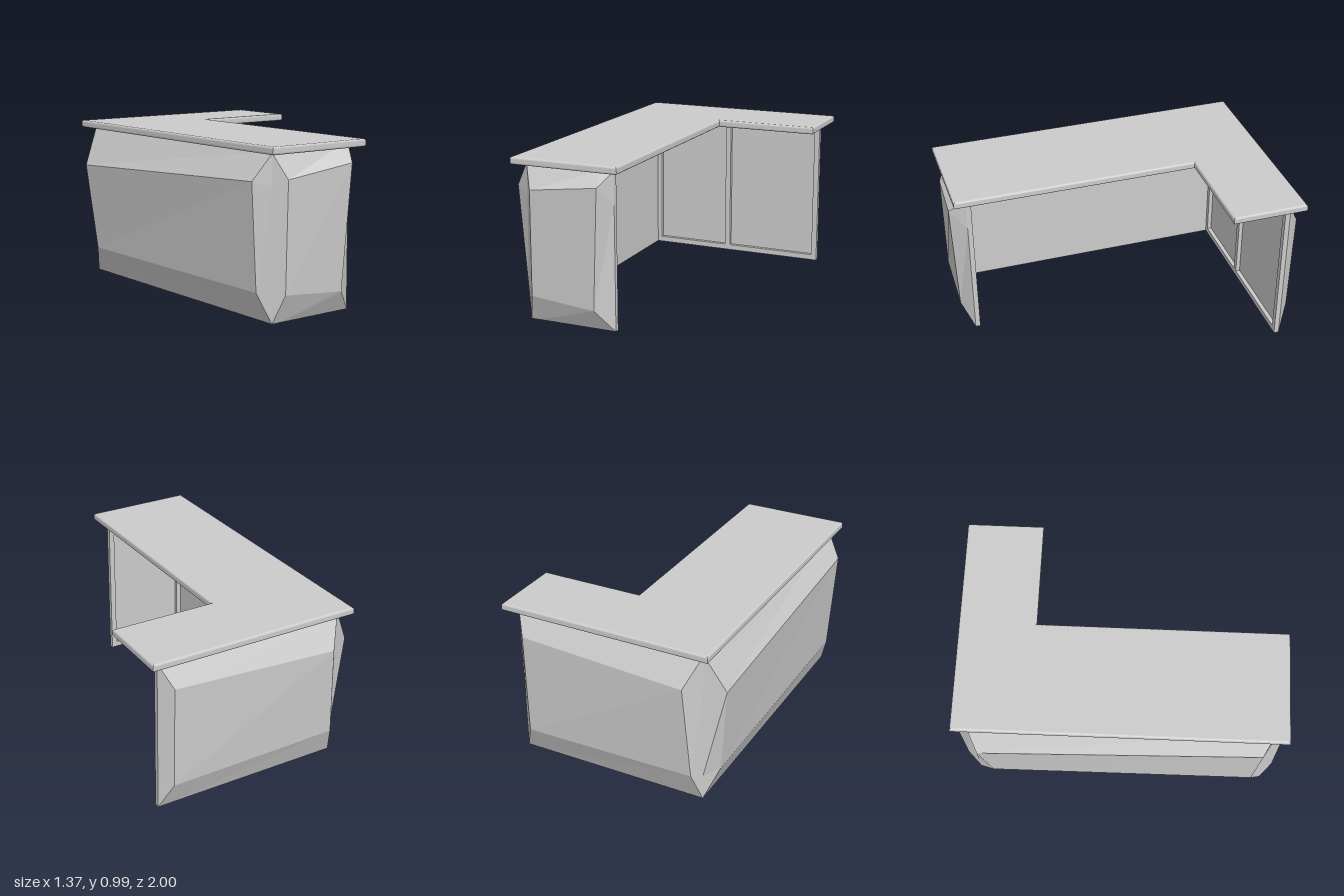
import * as THREE from 'three';

const H = 0.94;      // wall height
const D = 0.03;      // frame depth
const W = 0.035;     // frame bar width

export function createModel() {
  const model = new THREE.Group();
  model.name = 'cornerCounter';
  const mat = new THREE.MeshStandardMaterial({ color: 0xcccccc, flatShading: true });

  const add = (name, geometry) => {
    const mesh = new THREE.Mesh(geometry, mat);
    mesh.name = name;
    model.add(mesh);
    return mesh;
  };
  const box = (name, x0, x1, y0, y1, z0, z1) =>
    add(name, new THREE.BoxGeometry(x1 - x0, y1 - y0, z1 - z0))
      .position.set((x0 + x1) / 2, (y0 + y1) / 2, (z0 + z1) / 2);

  // L-shaped worktop with rounded edges
  const b = 0.012;
  const outline = [
    [-0.63 + b, -0.98 + b], [0.042 - b, -0.98 + b], [0.042 - b, 0.515 + b],
    [0.68 - b, 0.515 + b], [0.68 - b, 0.975 - b], [-0.63 + b, 0.975 - b],
  ];
  const top = new THREE.ExtrudeGeometry(
    new THREE.Shape(outline.map(([x, y]) => new THREE.Vector2(x, y))),
    { depth: 0.045 - 2 * b, bevelSize: b, bevelThickness: b, bevelSegments: 4 });
  top.rotateX(-Math.PI / 2).translate(0, H + b, 0);
  add('worktop', top);

  // Framed wall: thin panel with a bottom rail and posts on the inner side
  const framedWall = (name, x0, x1, zOut, posts) => {
    const s = Math.sign(zOut);
    const span = (depth) => [zOut - s * depth, zOut].sort((p, q) => p - q);
    box(name + 'Panel', x0, x1, 0, H, ...span(0.004));
    box(name + 'Rail', x0, x1, 0, W, ...span(D));
    posts.forEach((x) => box(name + 'Post', x, x + W, 0, H, ...span(D)));
  };
  framedWall('frontWall', -0.57, -0.015, 0.9, [-0.57, -0.05]);
  framedWall('backWall', -0.57, 0.615, -0.9, [-0.57, -0.05, 0.58]);
  box('sideWall', -0.57, -0.566, 0, H, -0.9, 0.9);

  // Faceted cladding: a 4 x 4 grid on the wall whose four inner points bulge out.
  // inner = [bottom near, bottom far, top near, top far] as [u, v, out]
  const cladding = (name, u0, u1, inner) => {
    const us = [u0, (inner[0][0] + inner[2][0]) / 2, (inner[1][0] + inner[3][0]) / 2, u1];
    const vs = [0, 0.155, 0.755, H];
    const point = (i, j) => (i % 3 && j % 3
      ? inner[(j - 1) * 2 + i - 1]
      : [us[i], vs[j], 0]);
    const pos = [];
    for (let j = 0; j < 3; j++) for (let i = 0; i < 3; i++) {
      const q = [point(i, j), point(i + 1, j), point(i + 1, j + 1), point(i, j + 1)];
      // corner cells are split along the corner diagonal
      const falling = (i === 0 && j === 2) || (i === 2 && j === 0);
      const order = falling ? [0, 1, 3, 1, 2, 3] : [0, 1, 2, 0, 2, 3];
      order.forEach((k) => pos.push(...q[k]));
    }
    const g = new THREE.BufferGeometry();
    g.setAttribute('position', new THREE.Float32BufferAttribute(pos, 3));
    g.computeVertexNormals();
    const mesh = add(name, g);
    return mesh;
  };

  cladding('frontCladding', -0.57, -0.015, [
    [-0.525, 0.165, 0.062], [-0.12, 0.13, 0.067],
    [-0.515, 0.8, 0.07], [-0.075, 0.86, 0.097],
  ]).position.z = 0.9;

  const back = cladding('backCladding', -0.615, 0.57, [
    [-0.548, 0.165, 0.067], [0.527, 0.18, 0.067],
    [-0.55, 0.8, 0.077], [0.487, 0.755, 0.1],
  ]);
  back.rotation.y = Math.PI;
  back.position.z = -0.9;

  const side = cladding('sideCladding', -0.9, 0.9, [
    [-0.8, 0.17, 0.065], [0.83, 0.17, 0.055],
    [-0.843, 0.71, 0.115], [0.843, 0.79, 0.095],
  ]);
  side.rotation.y = -Math.PI / 2;
  side.position.x = -0.57;

  return model;
}
